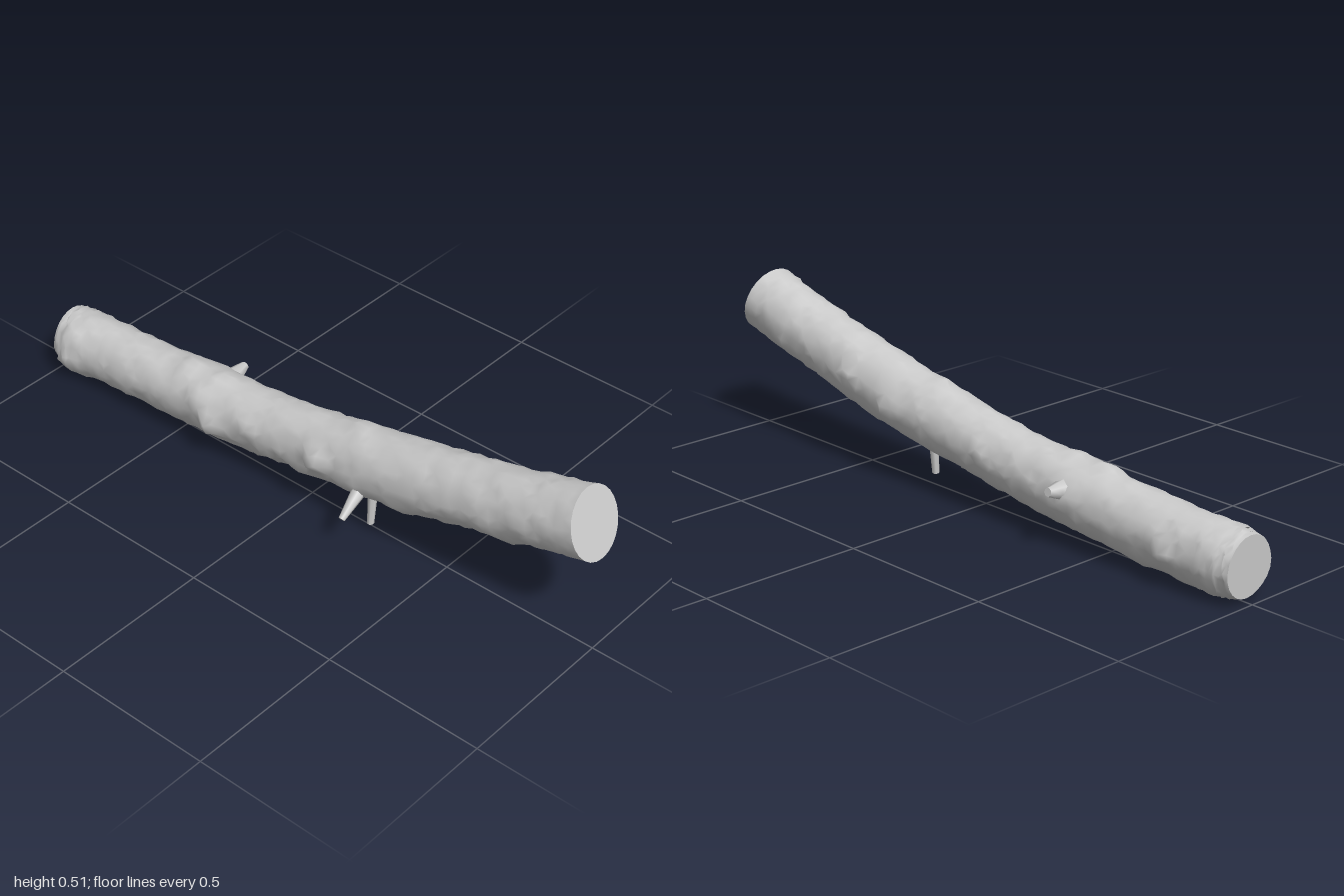
import * as THREE from 'three';

const material = new THREE.MeshStandardMaterial({ color: 0xcccccc, side: THREE.DoubleSide });

// Trunk stations: x, y, radius
const stations = [
  [-0.99, 0.122, 0.089], [-0.93, 0.119, 0.1], [-0.8, 0.126, 0.1], [-0.6, 0.139, 0.1],
  [-0.4, 0.157, 0.103], [-0.2, 0.175, 0.1], [0, 0.206, 0.099], [0.2, 0.24, 0.104],
  [0.4, 0.28, 0.106], [0.6, 0.33, 0.103], [0.8, 0.382, 0.103], [0.965, 0.429, 0.106],
];

// Bark knots: x, angle (0 = top, 90 = front, 180 = bottom, 270 = back), height, length, spread in degrees
const knots = [
  [-0.94, 105, 0.024, 0.05, 30], [-0.92, 55, 0.014, 0.04, 15], [-0.9, 150, 0.01, 0.04, 18],
  [-0.77, 265, 0.018, 0.03, 20], [-0.65, 200, 0.010, 0.04, 20], [-0.46, 8, 0.013, 0.04, 24],
  [-0.4, 285, 0.012, 0.05, 26], [-0.38, 60, 0.018, 0.04, 16], [-0.33, 98, 0.03, 0.04, 16],
  [-0.34, 10, 0.013, 0.03, 20], [-0.36, 180, 0.010, 0.04, 20], [-0.2, 70, 0.012, 0.03, 16],
  [-0.2, 165, 0.012, 0.03, 20], [-0.06, 280, 0.012, 0.03, 16], [0.02, 120, 0.014, 0.04, 16],
  [0.08, 88, 0.035, 0.03, 15], [0.19, 0, 0.013, 0.035, 24], [0.22, 115, 0.012, 0.05, 25],
  [0.32, 265, 0.018, 0.04, 18], [0.36, 140, 0.014, 0.04, 18], [0.48, 275, 0.014, 0.03, 16],
  [0.55, 190, 0.012, 0.05, 18], [0.66, 100, 0.010, 0.04, 15], [0.72, 150, 0.012, 0.04, 16],
  [0.8, 250, 0.010, 0.03, 20],
];

function seeded(seed) {
  return () => (seed = (seed * 16807) % 2147483647) / 2147483647;
}

function meshFrom(name, positions, indices) {
  const geometry = new THREE.BufferGeometry();
  geometry.setAttribute('position', new THREE.Float32BufferAttribute(positions, 3));
  geometry.setIndex(indices);
  geometry.computeVertexNormals();
  const mesh = new THREE.Mesh(geometry, material);
  mesh.name = name;
  return mesh;
}

// Height of the bark above the plain trunk
function knotHeight(x, degrees) {
  let height = 0;
  for (const [kx, angle, h, length, spread] of knots) {
    const turn = ((degrees - angle + 540) % 360) - 180;
    height += h * Math.exp(-(((x - kx) / length) ** 2) - (turn / spread) ** 2);
  }
  return height;
}

function buildRings(ringCount, sides) {
  const random = seeded(41);
  const spine = new THREE.CatmullRomCurve3(stations.map(([x, y]) => new THREE.Vector3(x, y, -0.008)));
  const radii = new THREE.CatmullRomCurve3(stations.map(([x, , r]) => new THREE.Vector3(x, r, 0)));
  const rings = [];
  for (let i = 0; i < ringCount; i++) {
    const t = i / (ringCount - 1);
    const center = spine.getPoint(t);
    // The cuts lean gently from the lower end to the raised end
    const lean = THREE.MathUtils.lerp(0.04, 0.33, t);
    const up = new THREE.Vector3(-Math.sin(lean), Math.cos(lean), 0);
    const radius = radii.getPoint(t).y;
    const atEnd = i === 0 || i === ringCount - 1;
    const ring = [];
    for (let j = 0; j < sides; j++) {
      const degrees = ((j + (atEnd ? 0 : (random() - 0.5) * 0.5)) / sides) * 360;
      const a = THREE.MathUtils.degToRad(degrees);
      const rough = atEnd ? 0 : (random() - 0.6) * 0.007;
      const r = radius + rough + knotHeight(center.x, degrees);
      const point = center.clone().addScaledVector(up, Math.cos(a) * r);
      point.z += Math.sin(a) * r * 0.93;
      if (!atEnd) point.x += (random() - 0.5) * 0.012;
      ring.push(point);
    }
    rings.push(ring);
  }
  return rings;
}

function buildBark(rings) {
  const sides = rings[0].length;
  const indices = [];
  for (let i = 0; i < rings.length - 1; i++) {
    for (let j = 0; j < sides; j++) {
      const a = i * sides + j;
      const b = i * sides + ((j + 1) % sides);
      const c = a + sides;
      const d = b + sides;
      // Alternating diagonals break up the regular grid
      if ((i + j) % 2) indices.push(a, b, c, b, d, c);
      else indices.push(a, b, d, a, d, c);
    }
  }
  return meshFrom('bark', rings.flat().flatMap((p) => p.toArray()), indices);
}

function buildCutEnd(name, ring, facesRight) {
  const center = new THREE.Vector3();
  ring.forEach((p) => center.addScaledVector(p, 1 / ring.length));
  const indices = [];
  ring.forEach((_, j) => {
    const a = j + 1;
    const b = ((j + 1) % ring.length) + 1;
    indices.push(0, ...(facesRight ? [a, b] : [b, a]));
  });
  return meshFrom(name, [center, ...ring].flatMap((p) => p.toArray()), indices);
}

// Tapered broken twig from a root point to a tip point
function buildTwig(name, root, tip, rootRadius, tipRadius) {
  const from = new THREE.Vector3(...root);
  const to = new THREE.Vector3(...tip);
  const direction = to.clone().sub(from);
  const geometry = new THREE.CylinderGeometry(tipRadius, rootRadius, direction.length(), 7, 2);
  const mesh = new THREE.Mesh(geometry, material);
  mesh.name = name;
  mesh.position.copy(from).add(to).multiplyScalar(0.5);
  mesh.quaternion.setFromUnitVectors(new THREE.Vector3(0, 1, 0), direction.normalize());
  return mesh;
}

export function createModel() {
  const model = new THREE.Group();
  model.name = 'log';
  const rings = buildRings(72, 24);
  model.add(
    buildBark(rings),
    buildCutEnd('lowerCutEnd', rings[0], false),
    buildCutEnd('raisedCutEnd', rings[rings.length - 1], true),
    buildTwig('lowerTwig', [0.235, 0.18, 0.008], [0.235, 0.043, 0.018], 0.016, 0.011),
    buildTwig('frontTwig', [0.235, 0.2, 0.06], [0.237, 0.137, 0.147], 0.024, 0.01),
    buildTwig('backTwig', [-0.395, 0.19, -0.08], [-0.4, 0.2, -0.15], 0.033, 0.013),
  );
  return model;
}
